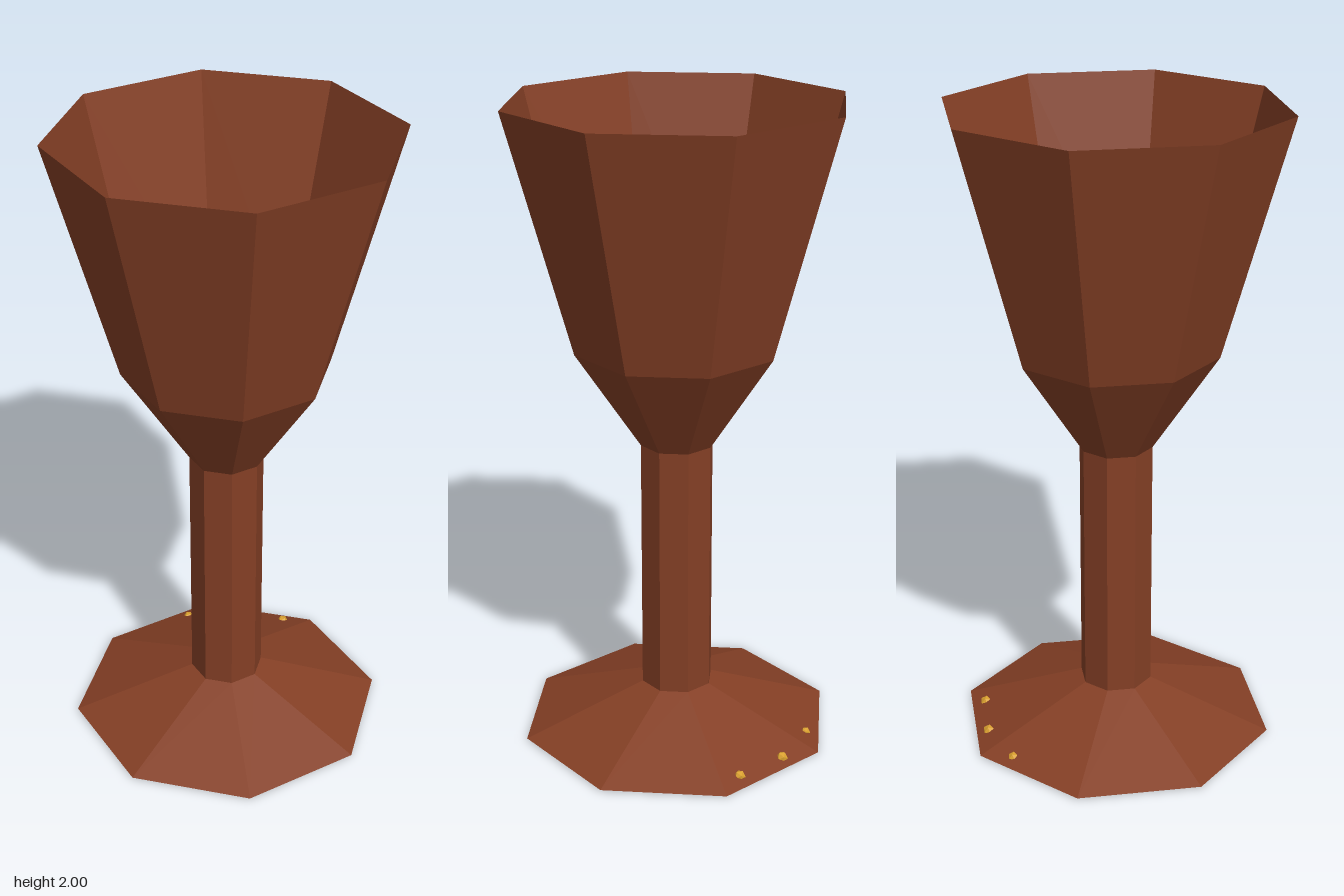
import * as THREE from 'three';

const SIDES = 8;

export function createModel() {
  const model = new THREE.Group();
  model.name = 'goblet';
  const brown = new THREE.MeshStandardMaterial({ color: 0x843f25, flatShading: true, side: THREE.DoubleSide });
  brown.name = 'reddish brown';
  const gold = new THREE.MeshStandardMaterial({ color: 0xd9a02e, flatShading: true });
  gold.name = 'gold';

  function add(name, geometry, material, x = 0, y = 0, z = 0) {
    const mesh = new THREE.Mesh(geometry, material);
    mesh.name = name;
    mesh.position.set(x, y, z);
    model.add(mesh);
  }

  // Eight-sided section between two heights
  function section(name, rBottom, rTop, y0, y1, open) {
    add(name, new THREE.CylinderGeometry(rTop, rBottom, y1 - y0, SIDES, 1, open), brown, 0, (y0 + y1) / 2, 0);
  }

  section('foot', 0.5, 0.115, 0, 0.145, false);
  section('stem', 0.115, 0.115, 0.145, 0.96, false);

  // Open, thin-walled bowl; the stem's top closes its floor
  section('lowerBowl', 0.115, 0.317, 0.96, 1.27, true);
  section('upperBowl', 0.317, 0.517, 1.27, 2, true);

  // Three tiny studs sunk into the rear edge of the foot
  [9, 32, 55].forEach((degrees, i) => {
    const a = THREE.MathUtils.degToRad(degrees);
    const r = 0.43;
    add('footStud' + (i + 1), new THREE.IcosahedronGeometry(i === 2 ? 0.016 : 0.019, 0), gold,
      -r * Math.sin(a), 0.012, -r * Math.cos(a));
  });

  return model;
}
